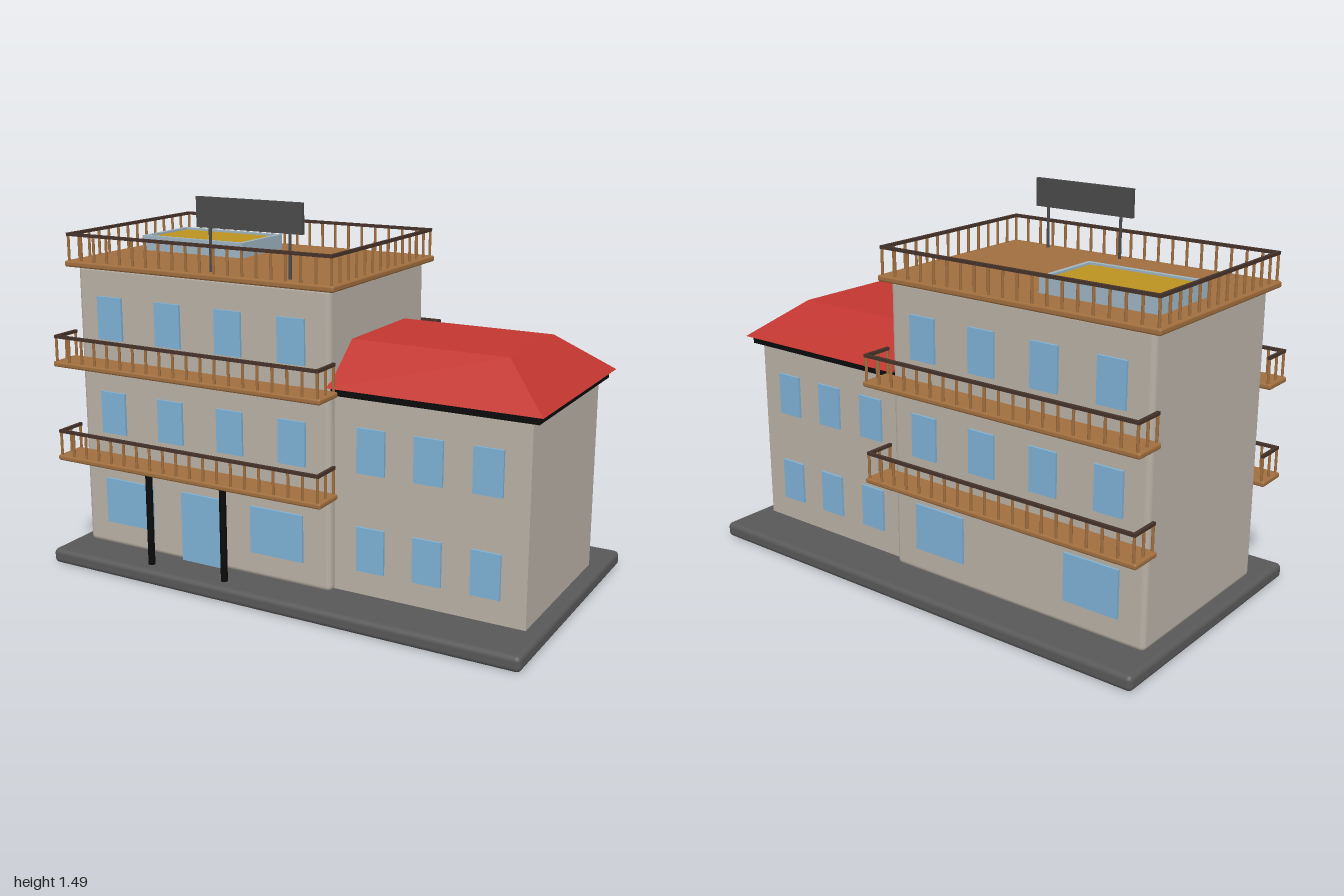
import * as THREE from 'three';
import { RoundedBoxGeometry } from 'three/addons/geometries/RoundedBoxGeometry.js';

const mat = (name, color, extra = {}) => {
  const m = new THREE.MeshStandardMaterial({ color, ...extra });
  m.name = name;
  return m;
};

export function createModel() {
  const model = new THREE.Group();
  model.name = 'terracedBuilding';

  const stone = mat('wall stone', 0xb8b0a5);
  const asphalt = mat('base grey', 0x585858);
  const wood = mat('wood', 0xa06e3e);
  const darkWood = mat('dark wood', 0x45322a);
  const glass = mat('window blue', 0x7db0d4);
  const red = mat('roof red', 0xc23630, { flatShading: true });
  const black = mat('black', 0x0a0a0a);
  const steel = mat('frame grey blue', 0x9db3c1);
  const yellow = mat('panel yellow', 0xba9220);
  const sign = mat('sign grey', 0x4a4a4a);

  const add = (parent, name, geo, material) => {
    const mesh = new THREE.Mesh(geo, material);
    mesh.name = name;
    parent.add(mesh);
    return mesh;
  };
  // Box given by its limits; r > 0 rounds the edges
  const box = (parent, name, material, x0, x1, y0, y1, z0, z1, r = 0) => {
    const size = [x1 - x0, y1 - y0, z1 - z0];
    const geo = r ? new RoundedBoxGeometry(...size, 3, r) : new THREE.BoxGeometry(...size);
    const mesh = add(parent, name, geo, material);
    mesh.position.set((x0 + x1) / 2, (y0 + y1) / 2, (z0 + z1) / 2);
    return mesh;
  };
  const group = (name) => {
    const g = new THREE.Group();
    g.name = name;
    model.add(g);
    return g;
  };

  // Ground slab and the two building blocks
  box(model, 'base', asphalt, -1, 1, 0, 0.06, -0.547, 0.547, 0.02);
  box(model, 'mainBlock', stone, -0.943, 0.187, 0.055, 1.195, -0.38, 0.38, 0.02);
  box(model, 'wing', stone, 0.15, 0.94, 0.06, 0.815, -0.342, 0.342);

  // Hip roof of the wing: eave corners, then ridge corners
  box(model, 'eave', black, 0.15, 0.97, 0.81, 0.842, -0.37, 0.37);
  const roof = new THREE.BufferGeometry();
  const [b, t] = [0.84, 0.987];
  roof.setAttribute('position', new THREE.Float32BufferAttribute([
    0.18, b, 0.392, 0.99, b, 0.392, 0.99, b, -0.392, 0.18, b, -0.392,
    0.18, t, 0.215, 0.8, t, 0.215, 0.8, t, -0.215, 0.18, t, -0.215,
  ], 3));
  roof.setIndex([
    0, 1, 5, 0, 5, 4, 1, 2, 6, 1, 6, 5, 2, 3, 7, 2, 7, 6,
    3, 0, 4, 3, 4, 7, 4, 5, 6, 4, 6, 7, 3, 2, 1, 3, 1, 0,
  ]);
  const flatRoof = roof.toNonIndexed();
  flatRoof.computeVertexNormals();
  add(model, 'wingRoof', flatRoof, red);

  // Windows on the front and back
  const windows = group('windows');
  const pane = (name, x, w, y0, y1, wall, side) => {
    const z = side * (wall + 0.004);
    box(windows, name, glass, x - w / 2, x + w / 2, y0, y1, z - 0.0048, z + 0.0048);
  };
  for (const side of [1, -1]) {
    for (const x of [-0.788, -0.515, -0.242, 0.03]) {
      pane('window', x, 0.115, 0.53, 0.7, 0.382, side);
      pane('window', x, 0.115, 0.91, 1.08, 0.382, side);
    }
    for (const x of [0.337, 0.563, 0.788]) {
      pane('wingWindow', x, 0.112, 0.155, 0.325, 0.346, side);
      pane('wingWindow', x, 0.112, 0.53, 0.7, 0.346, side);
    }
    for (const x of [-0.725, -0.04]) pane('shopWindow', x, 0.228, 0.155, 0.34, 0.382, side);
  }
  pane('door', -0.38, 0.185, 0.06, 0.34, 0.382, 1);

  // Railing along a list of corner points [x, z]
  const railing = (parent, points, y, height) => {
    const rail = 0.012;
    points.slice(1).forEach(([x1, z1], i) => {
      const [x0, z0] = points[i];
      const h = rail / 2;
      box(parent, 'handrail', darkWood, Math.min(x0, x1) - h, Math.max(x0, x1) + h,
        y + height - rail, y + height, Math.min(z0, z1) - h, Math.max(z0, z1) + h);
      const n = Math.round(Math.hypot(x1 - x0, z1 - z0) / 0.0615);
      for (let k = i ? 1 : 0; k <= n; k++) {
        const post = add(parent, 'baluster',
          new THREE.CylinderGeometry(0.0055, 0.0055, height - rail, 8), wood);
        post.position.set(x0 + (x1 - x0) * k / n, y + (height - rail) / 2, z0 + (z1 - z0) * k / n);
      }
    });
  };

  // Balconies on both long sides
  for (const side of [1, -1]) {
    for (const y of [0.426, 0.808]) {
      const balcony = group('balcony');
      const z = side * 0.4435;
      box(balcony, 'balconyFloor', wood, -0.98, 0.22, y, y + 0.022, z - 0.066, z + 0.066, 0.008);
      railing(balcony, [[-0.965, side * 0.386], [-0.965, side * 0.5],
        [0.205, side * 0.5], [0.205, side * 0.386]], y + 0.02, 0.106);
    }
  }

  // Roof terrace
  const terrace = group('roofTerrace');
  box(terrace, 'terraceFloor', wood, -0.98, 0.22, 1.188, 1.212, -0.414, 0.414, 0.008);
  railing(terrace, [[-0.965, -0.4], [-0.965, 0.4], [0.205, 0.4], [0.205, -0.4], [-0.965, -0.4]], 1.21, 0.11);

  // Entrance columns
  for (const x of [-0.553, -0.213]) {
    add(model, 'entranceColumn', new THREE.CylinderGeometry(0.0135, 0.0135, 0.37, 16), black)
      .position.set(x, 0.243, 0.484);
  }

  // Framed panel on the terrace
  const panel = group('roofPanel');
  box(panel, 'panelSideFront', steel, -0.89, -0.405, 1.21, 1.272, 0.014, 0.032);
  box(panel, 'panelSideBack', steel, -0.89, -0.405, 1.21, 1.272, -0.27, -0.252);
  box(panel, 'panelSideRight', steel, -0.89, -0.872, 1.21, 1.272, -0.252, 0.014);
  box(panel, 'panelSideLeft', steel, -0.423, -0.405, 1.21, 1.272, -0.252, 0.014);
  box(panel, 'panelTop', yellow, -0.872, -0.423, 1.21, 1.264, -0.252, 0.014);

  // Blank sign board on two poles
  const board = group('signBoard');
  box(board, 'board', sign, -0.38, 0.07, 1.375, 1.487, 0.353, 0.368);
  for (const x of [-0.325, 0.015]) {
    add(board, 'signPole', new THREE.CylinderGeometry(0.006, 0.006, 0.19, 10), sign)
      .position.set(x, 1.3, 0.36);
  }

  return model;
}
